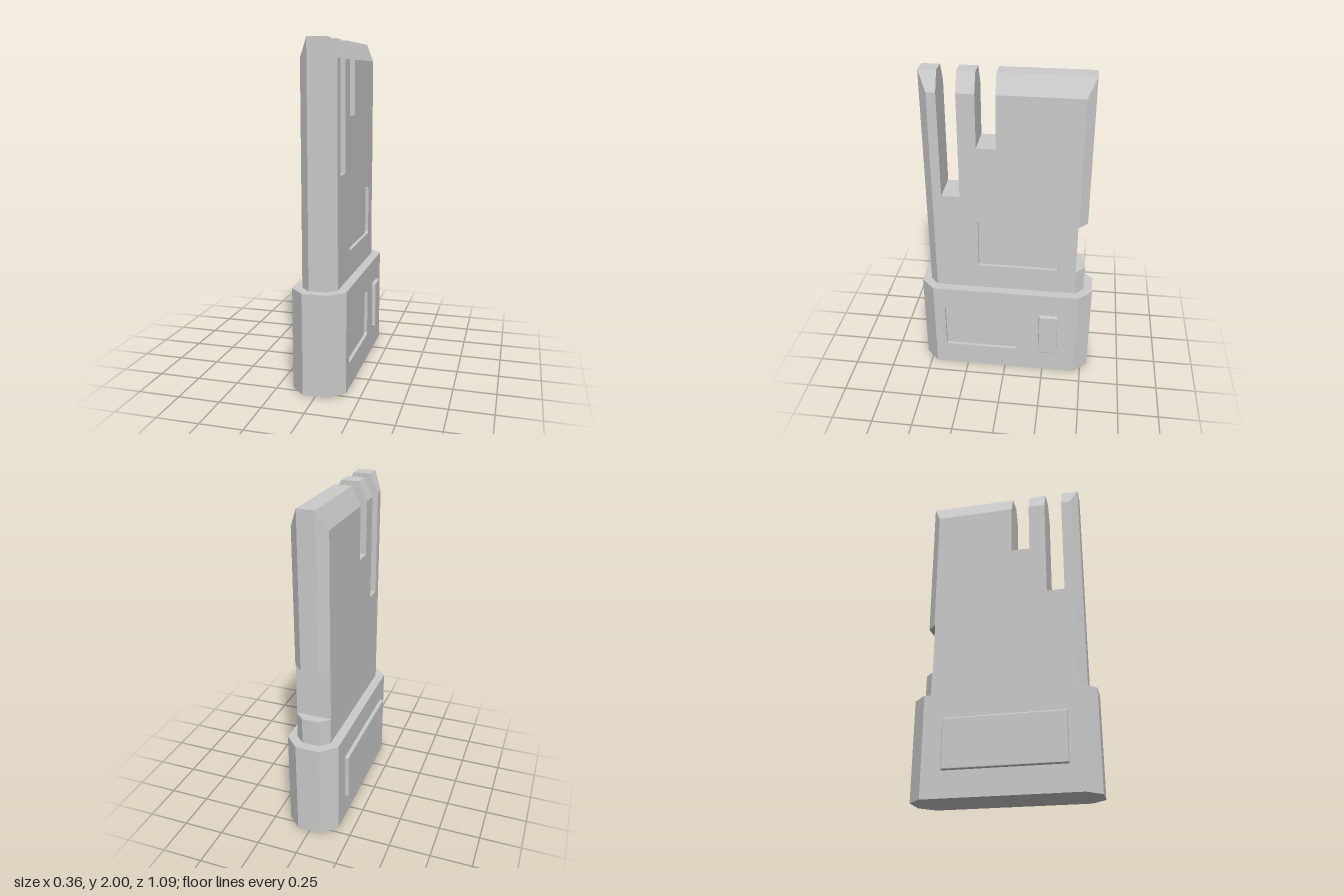
import * as THREE from 'three';
import { RoundedBoxGeometry } from 'three/addons/geometries/RoundedBoxGeometry.js';

const material = new THREE.MeshStandardMaterial({ color: 0xcccccc, flatShading: true });

// Side profiles are drawn as [s, y] with s = -z, counter-clockwise seen from +x.
const at = (x) => ([s, y]) => [x, y, -s];

// Strips between successive copies of a profile; each ring is { x, pts }.
function walls(out, rings) {
  for (let k = 0; k + 1 < rings.length; k++) {
    const lo = rings[k].pts.map(at(rings[k].x));
    const hi = rings[k + 1].pts.map(at(rings[k + 1].x));
    for (let i = 0; i < lo.length; i++) {
      const j = (i + 1) % lo.length;
      out.push(lo[i], lo[j], hi[j], lo[i], hi[j], hi[i]);
    }
  }
}

// Flat face filling a profile, with an optional hole.
function cap(out, x, pts, hole, flip) {
  const holes = hole ? [[...hole].reverse()] : [];
  const all = [pts, ...holes].flat();
  const vec = (list) => list.map(([s, y]) => new THREE.Vector2(s, y));
  for (const [a, b, c] of THREE.ShapeUtils.triangulateShape(vec(pts), holes.map(vec))) {
    out.push(...(flip ? [a, c, b] : [a, b, c]).map((i) => at(x)(all[i])));
  }
}

function roundedRect(s0, s1, y0, y1, r = 0.012, steps = 3) {
  const pts = [];
  const corners = [[s1 - r, y0 + r, -1], [s1 - r, y1 - r, 0], [s0 + r, y1 - r, 1], [s0 + r, y0 + r, 2]];
  for (const [cs, cy, q] of corners) {
    for (let i = 0; i <= steps; i++) {
      const a = (q + i / steps) * Math.PI / 2;
      pts.push([cs + r * Math.cos(a), cy + r * Math.sin(a)]);
    }
  }
  return pts;
}

// Chamfered slab: full profile in the middle, reduced profile on both flanks,
// with a shallow recess sunk into the +x flank.
function slab(name, full, reduced, xInner, xOuter, recess, depth) {
  const out = [];
  walls(out, [
    { x: -xOuter, pts: reduced }, { x: -xInner, pts: full },
    { x: xInner, pts: full }, { x: xOuter, pts: reduced },
  ]);
  cap(out, -xOuter, reduced, null, true);
  cap(out, xOuter, reduced, recess, false);
  walls(out, [{ x: xOuter, pts: recess }, { x: xOuter - depth, pts: recess }]);
  cap(out, xOuter - depth, recess, null, false);

  const geometry = new THREE.BufferGeometry();
  geometry.setAttribute('position', new THREE.Float32BufferAttribute(out.flat(), 3));
  geometry.computeVertexNormals();
  const mesh = new THREE.Mesh(geometry, material);
  mesh.name = name;
  return mesh;
}

// Upper body profile: back notch and two slots open at the top
const bodyProfile = (e, top) => [
  [-e, 0.59], [e, 0.59],
  [e, 0.77], [0.435, 0.77], [0.435, 1.09], [e, 1.09],
  [e, top], [-0.055, top],
  [-0.055, 1.57], [-0.17, 1.57], [-0.17, top],
  [-0.275, top], [-0.275, 1.25], [-0.385, 1.25], [-0.385, top],
  [-e, top],
];

const baseProfile = (e) => [[-e, 0], [e, 0], [e, 0.605], [-e, 0.605]];

// Raised pad on a flank of the base
function pad(name, side, z0, z1) {
  const mesh = new THREE.Mesh(new RoundedBoxGeometry(0.06, 0.3, z1 - z0, 2, 0.008), material);
  mesh.position.set(side * 0.152, 0.305, (z0 + z1) / 2);
  mesh.name = name;
  return mesh;
}

export function createModel() {
  const model = new THREE.Group();
  model.name = 'slottedCartridge';
  model.add(
    slab('body', bodyProfile(0.49, 2), bodyProfile(0.44, 1.89), 0.0525, 0.105,
      roundedRect(-0.17, 0.33, 0.77, 1.09), 0.02),
    slab('base', baseProfile(0.545), baseProfile(0.46), 0.075, 0.16,
      roundedRect(-0.39, 0.08, 0.155, 0.455), 0.02),
    pad('smallPad', 1, -0.34, -0.22),
    pad('longPad', -1, -0.34, 0.38),
  );
  return model;
}
